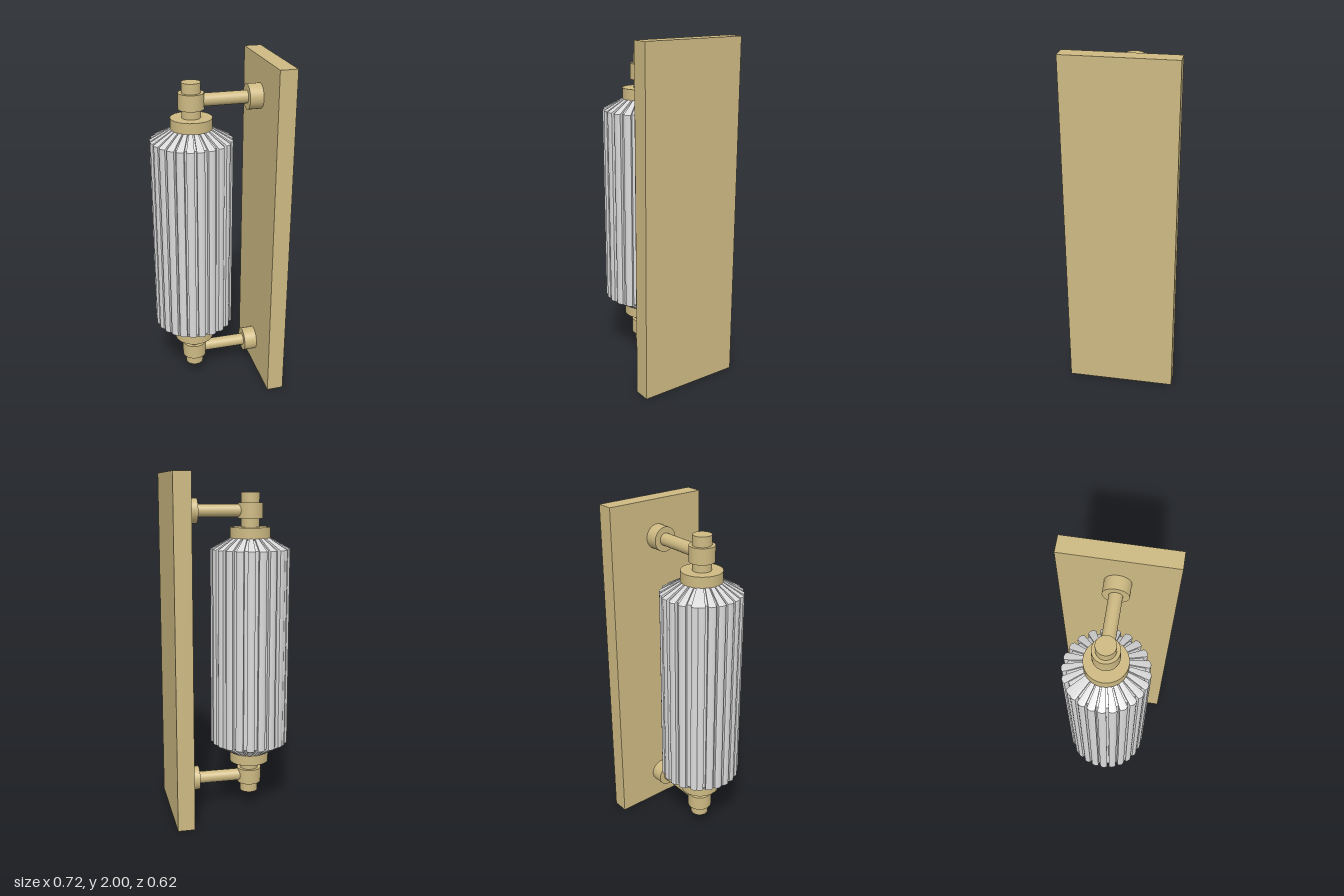
import * as THREE from 'three';
import { toCreasedNormals } from 'three/addons/utils/BufferGeometryUtils.js';

const AXIS_X = -0.13;
const brass = new THREE.MeshStandardMaterial({ color: 0xcdb982 });
brass.name = 'brass';
const glass = new THREE.MeshStandardMaterial({ color: 0xdadada });
glass.name = 'frosted glass';

function add(parent, name, geometry, material, x = 0, y = 0, z = 0) {
  const mesh = new THREE.Mesh(geometry, material);
  mesh.name = name;
  mesh.position.set(x, y, z);
  parent.add(mesh);
  return mesh;
}

// upright cylinder given by its lower and upper ends
function post(parent, name, radius, y0, y1) {
  return add(parent, name, new THREE.CylinderGeometry(radius, radius, y1 - y0, 40), brass, 0, (y0 + y1) / 2, 0);
}

// horizontal cylinder running along x
function bar(parent, name, radius, x0, x1, y) {
  const geometry = new THREE.CylinderGeometry(radius, radius, x1 - x0, 40).rotateZ(-Math.PI / 2);
  return add(parent, name, geometry, brass, (x0 + x1) / 2, y, 0);
}

// one wedge-shaped rib: a side profile swept through a small angle, with a rounded outer face
function ribGeometry() {
  const profile = new THREE.Shape([
    [0.09, 0.335], [0.115, 0.34], [0.225, 0.41], [0.225, 1.57], [0.115, 1.635], [0.09, 1.64],
  ].map(([r, y]) => new THREE.Vector2(r, y)));
  const geometry = new THREE.ExtrudeGeometry(profile, { depth: 1, steps: 6, bevelEnabled: false });
  const p = geometry.attributes.position;
  for (let i = 0; i < p.count; i++) {
    const t = p.getZ(i) * 2 - 1;
    const bulge = p.getX(i) > 0.2 ? 0.008 * (1 - t * t) : 0;
    const r = p.getX(i) + bulge;
    const a = t * 0.098;
    p.setXYZ(i, r * Math.cos(a), p.getY(i), r * Math.sin(a));
  }
  return toCreasedNormals(geometry, 0.5);
}

export function createModel() {
  const model = new THREE.Group();
  model.name = 'wallLamp';

  // wall plate
  add(model, 'wallPlate', new THREE.BoxGeometry(0.098, 2, 0.62), brass, 0.311, 1, 0);

  const lamp = new THREE.Group();
  lamp.name = 'lamp';
  lamp.position.x = AXIS_X;
  model.add(lamp);

  // shade core with coned ends
  const core = [[0, 0.35], [0.11, 0.35], [0.203, 0.41], [0.203, 1.57], [0.11, 1.625], [0, 1.625]];
  const coreGeometry = new THREE.LatheGeometry(core.map(([r, y]) => new THREE.Vector2(r, y)), 64);
  add(lamp, 'shadeCore', toCreasedNormals(coreGeometry, 0.4), glass);

  // ribs, slightly closer together on one side, with one overlapping pair
  const angles = [221, 229];
  for (let i = 0; i <= 12; i++) angles.push(90 - i * 16.83);
  for (let i = 1; i <= 8; i++) angles.push(90 + i * 14.5);
  const rib = ribGeometry();
  const ribs = new THREE.Group();
  ribs.name = 'shadeRibs';
  lamp.add(ribs);
  for (const angle of angles) {
    add(ribs, 'rib', rib, glass).rotation.y = -THREE.MathUtils.degToRad(angle);
  }

  // matching fittings at both ends
  for (const [end, flip] of [['upper', false], ['lower', true]]) {
    const span = (a, b) => (flip ? [1.975 - b, 1.975 - a] : [a, b]);
    post(lamp, end + 'Cap', 0.117, ...span(1.632, 1.695));
    post(lamp, end + 'Rod', 0.053, ...span(1.66, 1.89));
    post(lamp, end + 'Collar', 0.072, ...span(1.743, 1.833));
    const y = flip ? 0.187 : 1.788;
    bar(model, end + 'Arm', 0.036, AXIS_X, 0.2, y);
    bar(model, end + 'Rosette', 0.071, 0.185, 0.264, y);
  }
  return model;
}
